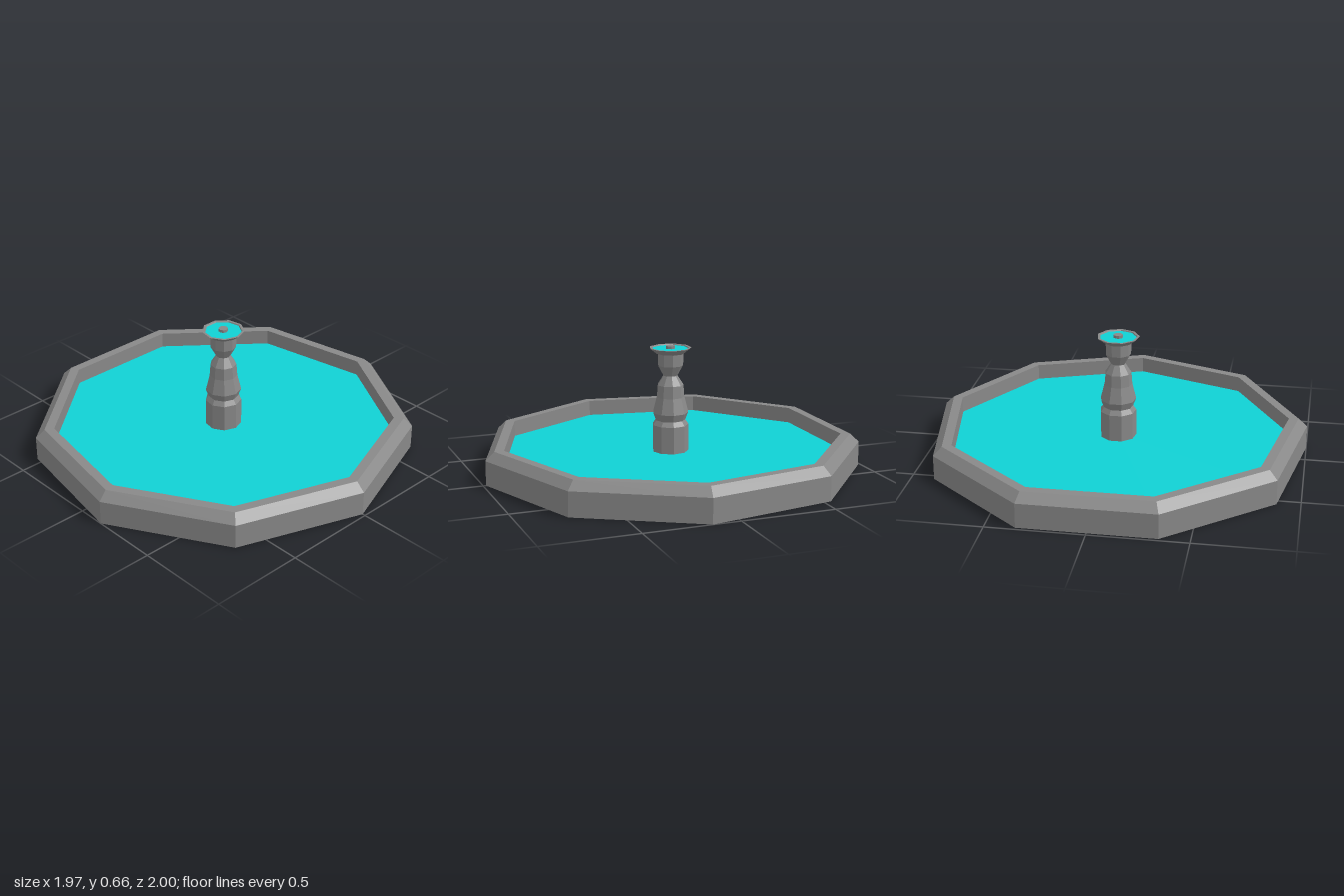
import * as THREE from 'three';

const SIDES = 9;
const stone = new THREE.MeshStandardMaterial({ color: 0x888888, flatShading: true });
const water = new THREE.MeshStandardMaterial({ color: 0x10d0d4, flatShading: true });

// Nine-sided turned solid with one corner facing +x; profile is [radius, height]
function turned(name, profile, material) {
  const points = profile.map(([r, y]) => new THREE.Vector2(r, y));
  const mesh = new THREE.Mesh(new THREE.LatheGeometry(points, SIDES, Math.PI / 2), material);
  mesh.name = name;
  return mesh;
}

// Flat water surface matching the turned parts
function waterDisc(name, radius, y) {
  const mesh = new THREE.Mesh(new THREE.CircleGeometry(radius, SIDES), water);
  mesh.rotation.x = -Math.PI / 2;
  mesh.position.y = y;
  mesh.name = name;
  return mesh;
}

export function createModel() {
  const fountain = new THREE.Group();
  fountain.name = 'fountain';
  fountain.position.x = -0.03;

  // Pool: closed base, bevelled outer rim, inner wall
  fountain.add(turned('poolWall', [
    [0, 0], [1.015, 0], [1.015, 0.13], [0.967, 0.175], [0.915, 0.175], [0.915, 0.08],
  ], stone));
  fountain.add(waterDisc('poolWater', 0.915, 0.09));

  // Baluster column
  fountain.add(turned('column', [
    [0.097, 0.08], [0.097, 0.235], [0.08, 0.26], [0.096, 0.3], [0.075, 0.385],
    [0.07, 0.45], [0.038, 0.5], [0.068, 0.555], [0.07, 0.625],
  ], stone));

  // Upper bowl with its water and spout
  fountain.add(turned('bowl', [
    [0, 0.62], [0.075, 0.62], [0.113, 0.65], [0.1, 0.65], [0.094, 0.64],
  ], stone));
  fountain.add(waterDisc('bowlWater', 0.098, 0.645));
  fountain.add(turned('spout', [
    [0.025, 0.63], [0.025, 0.66], [0, 0.66],
  ], stone));

  const model = new THREE.Group();
  model.add(fountain);
  return model;
}
